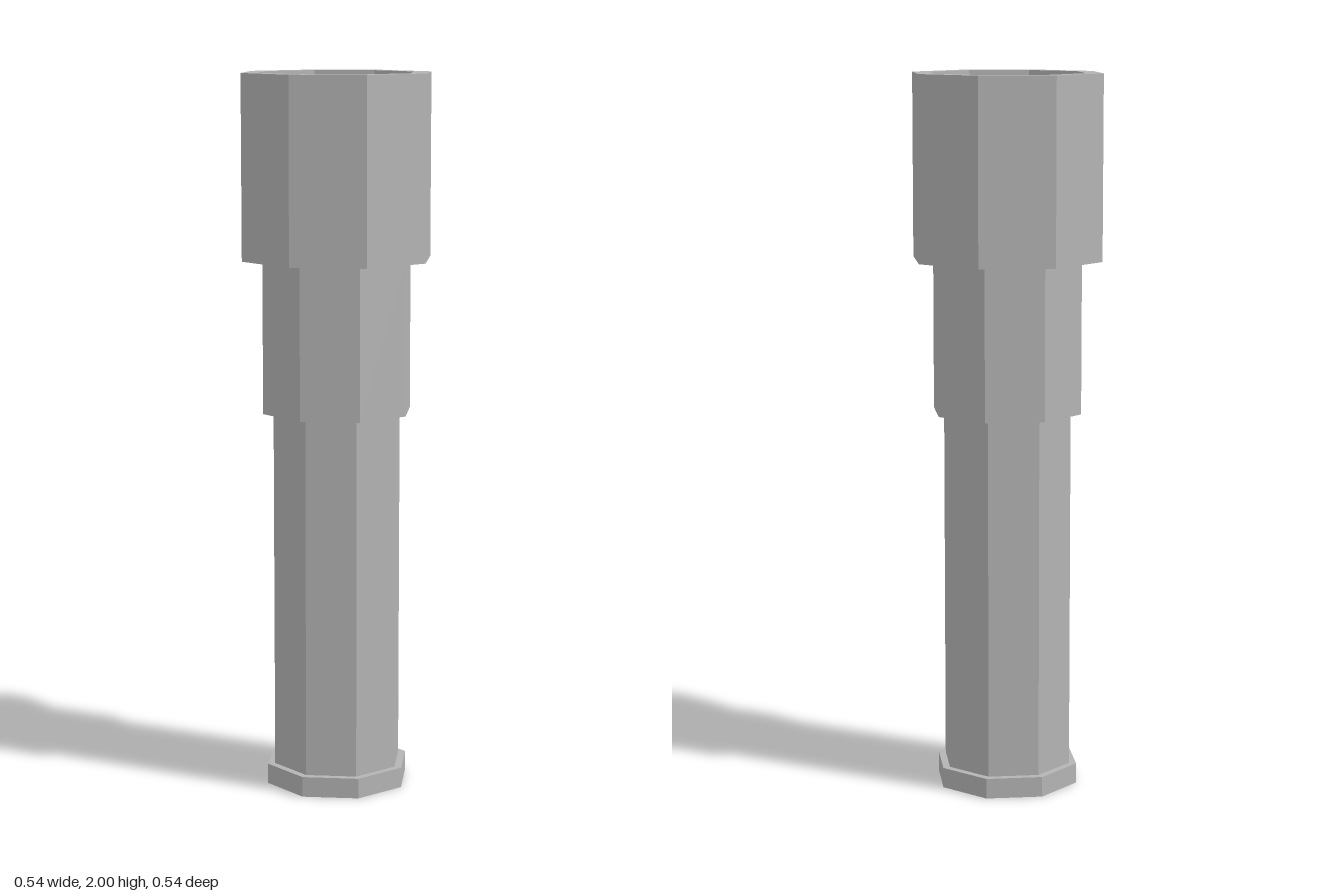
import * as THREE from 'three';

const SIDES = 8;

export function createModel() {
  const model = new THREE.Group();
  const grey = new THREE.MeshStandardMaterial({ color: 0xb4b4b4, flatShading: true, side: THREE.DoubleSide });
  grey.name = 'grey metal';

  const add = (name, geometry, y = 0) => {
    const mesh = new THREE.Mesh(geometry, grey);
    mesh.name = name;
    mesh.position.y = y;
    model.add(mesh);
  };
  // Closed octagonal section with corners on the axes
  const section = (name, radius, bottom, top) =>
    add(name, new THREE.CylinderGeometry(radius, radius, top - bottom, SIDES), (bottom + top) / 2);

  section('endCap', 0.205, 0, 0.057);
  section('handle', 0.184, 0.057, 1.065);
  section('collar', 0.214, 1.065, 1.49);

  // Head shell, open below, with a flat rim and a recessed lens
  const profile = [[0.272, 1.49], [0.272, 2], [0.222, 2], [0.222, 1.945]];
  add('head', new THREE.LatheGeometry(profile.map(([r, y]) => new THREE.Vector2(r, y)), SIDES));
  const lens = new THREE.CircleGeometry(0.222, SIDES);
  lens.rotateX(-Math.PI / 2);
  add('lens', lens, 1.945);

  return model;
}
